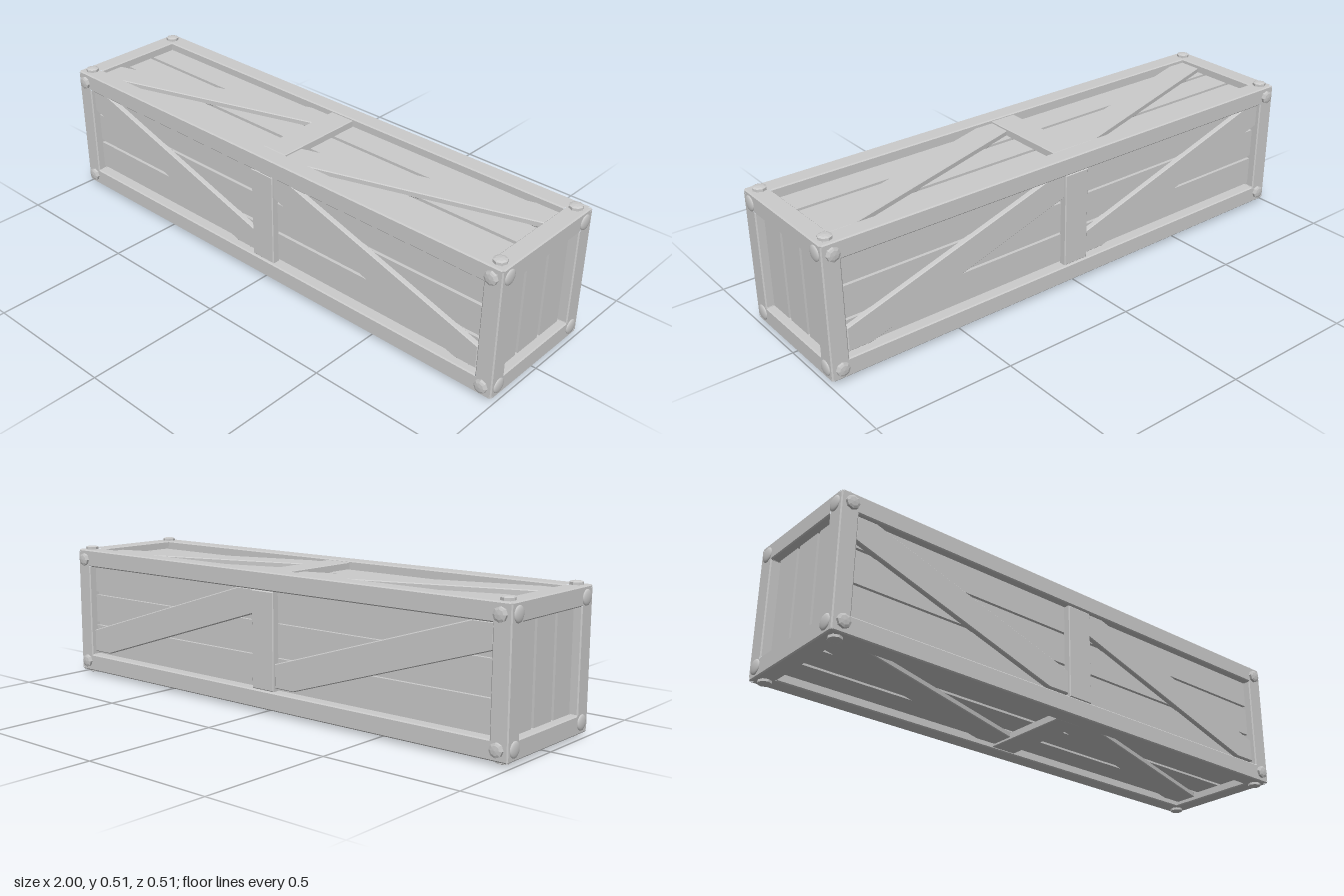
import * as THREE from 'three';

const H = [0.993, 0.242, 0.242];   // half sizes of the frame
const T = 0.065, C = 0.004;        // beam thickness and chamfer
const MID = 0.256;                 // height of the crate's centre
const PANEL = 0.212;               // distance of plank faces from the centre line

export function createModel() {
  const root = new THREE.Group();
  root.name = 'crate';
  const crate = new THREE.Group();
  crate.name = 'crateBody';
  crate.position.y = MID;
  root.add(crate);
  const mat = new THREE.MeshStandardMaterial({ color: 0xcccccc, flatShading: true });
  const smooth = new THREE.MeshStandardMaterial({ color: 0xcccccc });

  const add = (parent, name, geo, x = 0, y = 0, z = 0, m = mat) => {
    const mesh = new THREE.Mesh(geo, m);
    mesh.name = name;
    mesh.position.set(x, y, z);
    parent.add(mesh);
    return mesh;
  };
  const box = (parent, name, w, h, d, x, y, z) =>
    add(parent, name, new THREE.BoxGeometry(w, h, d), x, y, z);

  // Chamfered beam along one axis, its ends mitred to meet the other beams
  const section = [[C, 0], [T - C, 0], [T, C], [T, T - C], [T - C, T], [C, T], [0, T - C], [0, C]];
  function beam(a, sb, sc) {
    const b = (a + 1) % 3, c = (a + 2) % 3, pos = [];
    const point = ([p, q], end) => {
      const v = [0, 0, 0];
      v[a] = end * (H[a] - Math.max(p, q) - 0.0015);
      v[b] = sb * (H[b] - p);
      v[c] = sc * (H[c] - q);
      return v;
    };
    section.forEach((s, i) => {
      const n = section[(i + 1) % section.length];
      const quad = [point(s, -1), point(n, -1), point(n, 1), point(s, 1)];
      if (sb * sc < 0) quad.reverse();
      for (const k of [0, 1, 2, 0, 2, 3]) pos.push(...quad[k]);
    });
    const geo = new THREE.BufferGeometry();
    geo.setAttribute('position', new THREE.Float32BufferAttribute(pos, 3));
    geo.computeVertexNormals();
    add(crate, 'frameBeam', geo);
  }
  for (let a = 0; a < 3; a++)
    for (const sb of [-1, 1]) for (const sc of [-1, 1]) beam(a, sb, sc);

  // Inner core behind the plank gaps
  box(crate, 'innerCore', 1.9, 0.4, 0.4, 0, 0, 0);

  // Three planks separated by narrow gaps, placed across the panel
  const planks = [[0.076, 0.2], [-0.046, 0.062], [-0.166, -0.06]];

  // Bevelled board cut from an outline
  function board(outline, depth) {
    const shape = new THREE.Shape(outline.map(([x, y]) => new THREE.Vector2(x, y)));
    return new THREE.ExtrudeGeometry(shape, {
      depth: depth - 0.003, bevelEnabled: true, bevelThickness: 0.003,
      bevelSize: 0.003, bevelOffset: -0.003, bevelSegments: 1,
    });
  }

  // Low domed bolt head
  const boltProfile = [[0.024, -0.002], [0.024, 0.009], [0.016, 0.012], [0, 0.0135]];
  const boltGeo = new THREE.LatheGeometry(boltProfile.map(([r, y]) => new THREE.Vector2(r, y)), 8);
  boltGeo.rotateX(Math.PI / 2);

  // Long side: planks, centre batten, two diagonal braces, four bolts
  function longSide(name, turn, braceSign, plankSign) {
    const side = new THREE.Group();
    side.name = name;
    side.rotation.x = turn;
    crate.add(side);
    for (const [lo, hi] of planks)
      box(side, 'plank', 1.9, hi - lo, 0.02, 0, plankSign * (lo + hi) / 2, PANEL - 0.01);
    add(side, 'centreBatten', board([[-0.05, -0.175], [0.05, -0.175], [0.05, 0.175], [-0.05, 0.175]], 0.028), 0, 0, PANEL - 0.002);
    const outline = [[-0.925, 0.176], [-0.85, 0.176], [-0.05, -0.077], [-0.05, -0.163], [-0.135, -0.163], [-0.925, 0.09]]
      .map(([x, y]) => [x, y * braceSign]);
    for (const shift of [0, 0.972])
      add(side, 'diagonalBrace', board(outline, 0.02), shift, 0, PANEL - 0.002);
    for (const x of [-0.955, 0.955]) for (const y of [-0.204, 0.204])
      add(side, 'bolt', boltGeo, x, y, H[2]);
  }
  longSide('frontSide', 0, 1, 1);
  longSide('topSide', -Math.PI / 2, -1, 1);
  longSide('bottomSide', Math.PI / 2, 1, -1);
  longSide('backSide', Math.PI, -1, -1);

  // Ends: upright planks and shallow corner studs
  const dome = new THREE.SphereGeometry(0.027, 20, 6, 0, Math.PI * 2, 0, Math.PI / 2);
  dome.scale(1, 0.007 / 0.027, 1);
  dome.rotateZ(-Math.PI / 2);
  for (const s of [-1, 1]) {
    for (const [lo, hi] of planks)
      box(crate, 'endPlank', 0.02, 0.4, hi - lo, s * 0.953, 0, (lo + hi) / 2);
    for (const y of [-1, 1]) for (const z of [-1, 1]) {
      box(crate, 'cornerBlock', 0.06, 0.06, 0.06, s * (H[0] - 0.034), y * (H[1] - 0.034), z * (H[2] - 0.034));
      const stud = add(crate, 'cornerStud', dome, s * H[0], y * 0.204, z * 0.204, smooth);
      if (s < 0) stud.rotation.y = Math.PI;
    }
  }
  return root;
}
